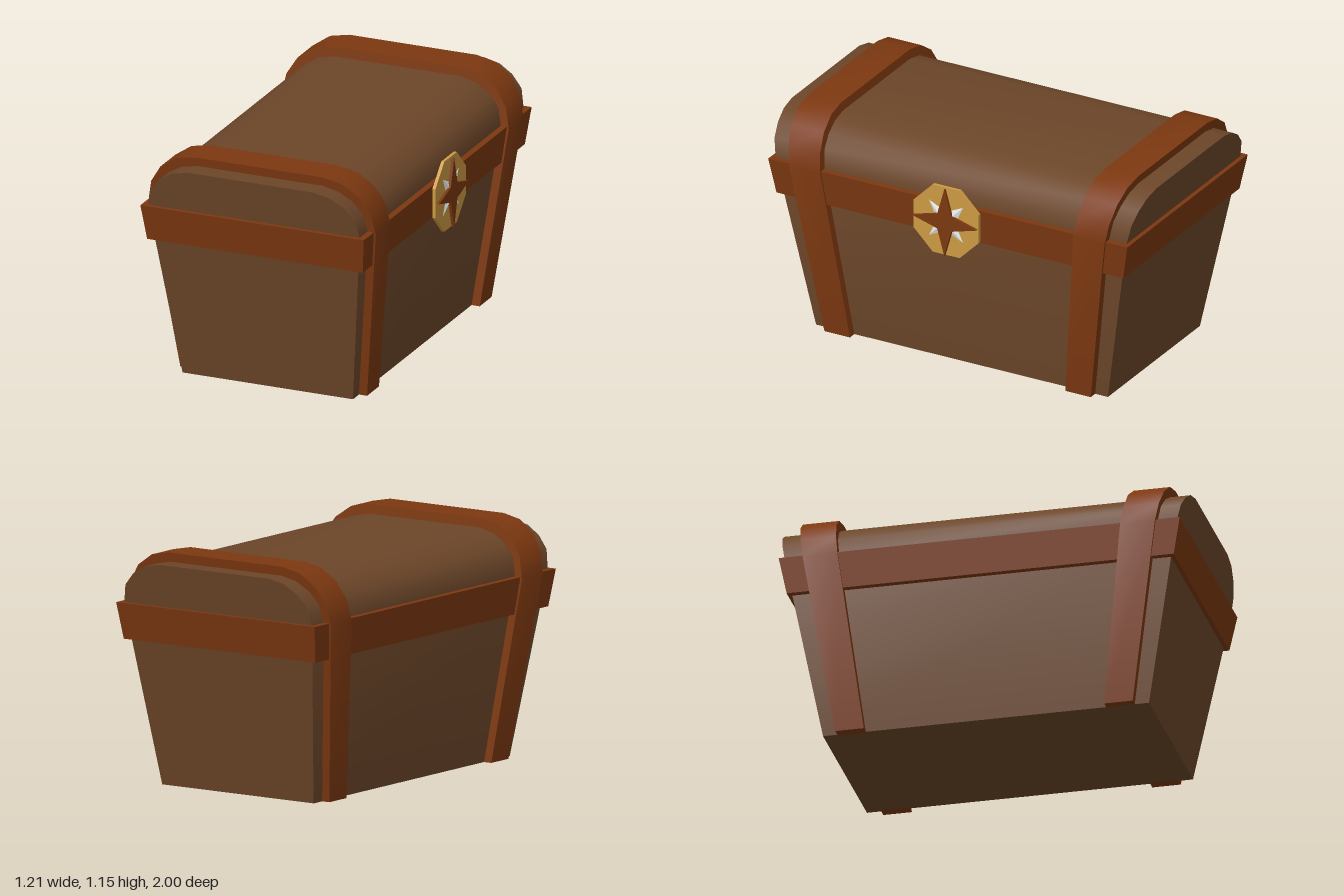
import * as THREE from 'three';
import { toCreasedNormals } from 'three/addons/utils/BufferGeometryUtils.js';

const material = (name, color) => {
  const m = new THREE.MeshStandardMaterial({ color });
  m.name = name;
  return m;
};

// Right half of the chest section, from the foot up to the flat of the lid
const bodyHalf = [[0.445, 0], [0.552, 0.89], [0.533, 0.985], [0.48, 1.045], [0.41, 1.087], [0.325, 1.105]];
const strapHalf = [[0.4875, 0], [0.593, 0.885], [0.573, 0.985], [0.52, 1.07], [0.433, 1.13], [0.333, 1.15]];

// Full outline: up the right side, over the top, down the left
const arch = (half) => [...half, ...half.map(([x, y]) => [-x, y]).reverse()];
const shapeOf = (points) => new THREE.Shape(points.map(([x, y]) => new THREE.Vector2(x, y)));

// Apply a rule to every vertex, then rebuild normals with sharp creases
function reshape(geometry, rule, crease = 0.75) {
  const pos = geometry.attributes.position;
  const v = new THREE.Vector3();
  for (let i = 0; i < pos.count; i++) {
    v.fromBufferAttribute(pos, i);
    rule(v);
    pos.setXYZ(i, v.x, v.y, v.z);
  }
  geometry.computeVertexNormals();
  return toCreasedNormals(geometry, crease);
}

// Extrude an outline between two z limits that lean with height
function leaningSlab(points, zBack, zFront) {
  const g = new THREE.ExtrudeGeometry(shapeOf(points), { depth: 1, bevelEnabled: false });
  return reshape(g, (v) => { v.z = v.z < 0.5 ? zBack(v.y) : zFront(v.y); });
}

// Star outline with long tips and short inner corners
function star(tip, inner, turn) {
  const pts = [];
  for (let i = 0; i < 8; i++) {
    const a = turn + i * Math.PI / 4, r = i % 2 ? inner : tip;
    pts.push([Math.cos(a) * r, Math.sin(a) * r]);
  }
  return pts;
}

export function createModel() {
  const wood = material('dark wood', 0x6c4629);
  const trim = material('reddish trim wood', 0x7c3810);
  const gold = material('gold', 0xcc9a44);
  const silver = material('silver', 0xe8e8e8);

  const model = new THREE.Group();
  model.name = 'chest';
  const add = (parent, name, geometry, mat) => {
    const mesh = new THREE.Mesh(geometry, mat);
    mesh.name = name;
    parent.add(mesh);
    return mesh;
  };

  const casket = new THREE.Group();
  casket.name = 'casket';
  casket.position.x = -0.0125;
  model.add(casket);

  // Body and rounded lid, ends leaning outwards
  const endZ = (y) => 0.8 + 0.181 * y;
  add(casket, 'body', leaningSlab(arch(bodyHalf), (y) => -endZ(y), endZ), wood);

  // Two arched straps
  const inside = bodyHalf.map(([x, y]) => [x - 0.01, y ? y - 0.01 : 0]);
  const strapShape = [...arch(strapHalf), ...arch(inside).reverse()];
  const near = (y) => 0.59 + 0.117 * y;
  const far = (y) => 0.73 + 0.152 * y;
  add(casket, 'frontStrap', leaningSlab(strapShape, near, far), trim);
  add(casket, 'backStrap', leaningSlab(strapShape, (y) => -far(y), (y) => -near(y)), trim);

  // Belt around the rim, flaring with the walls
  const rect = (x, z) => [[-x, -z], [x, -z], [x, z], [-x, z]];
  const beltShape = shapeOf(rect(0.563, 0.95));
  beltShape.holes.push(shapeOf(rect(0.52, 0.92)));
  const belt = new THREE.ExtrudeGeometry(beltShape, { depth: 1, bevelEnabled: false });
  belt.rotateX(-Math.PI / 2);
  add(casket, 'belt', reshape(belt, (v) => {
    const flare = 1 + 0.036 * v.y;
    v.set(v.x * flare, 0.715 + 0.18 * v.y, v.z * flare);
  }), trim);

  // Round clasp on the +x side
  const clasp = new THREE.Group();
  clasp.name = 'clasp';
  clasp.position.set(0.57, 0.805, 0);
  clasp.rotation.y = Math.PI / 2;
  model.add(clasp);

  const plate = new THREE.CylinderGeometry(0.193, 0.193, 0.016, 8);
  plate.rotateY(Math.PI / 8).rotateX(Math.PI / 2).translate(0, 0, 0.008);
  add(clasp, 'claspPlate', toCreasedNormals(plate, 0.3), gold);

  // Faceted diagonal star: fan of triangles rising to the centre
  const rim = star(0.132, 0.05, Math.PI / 4);
  const fan = rim.flatMap((p, i) => [...p, 0.017, ...rim[(i + 1) % 8], 0.017, 0, 0, 0.034]);
  const facets = new THREE.BufferGeometry();
  facets.setAttribute('position', new THREE.Float32BufferAttribute(fan, 3));
  facets.computeVertexNormals();
  add(clasp, 'diagonalStar', facets, silver);

  // Main star on top
  const main = new THREE.ExtrudeGeometry(shapeOf(star(0.176, 0.055, 0)), { depth: 0.014, bevelEnabled: false });
  main.translate(0, 0, 0.021);
  add(clasp, 'mainStar', main, trim);

  return model;
}
